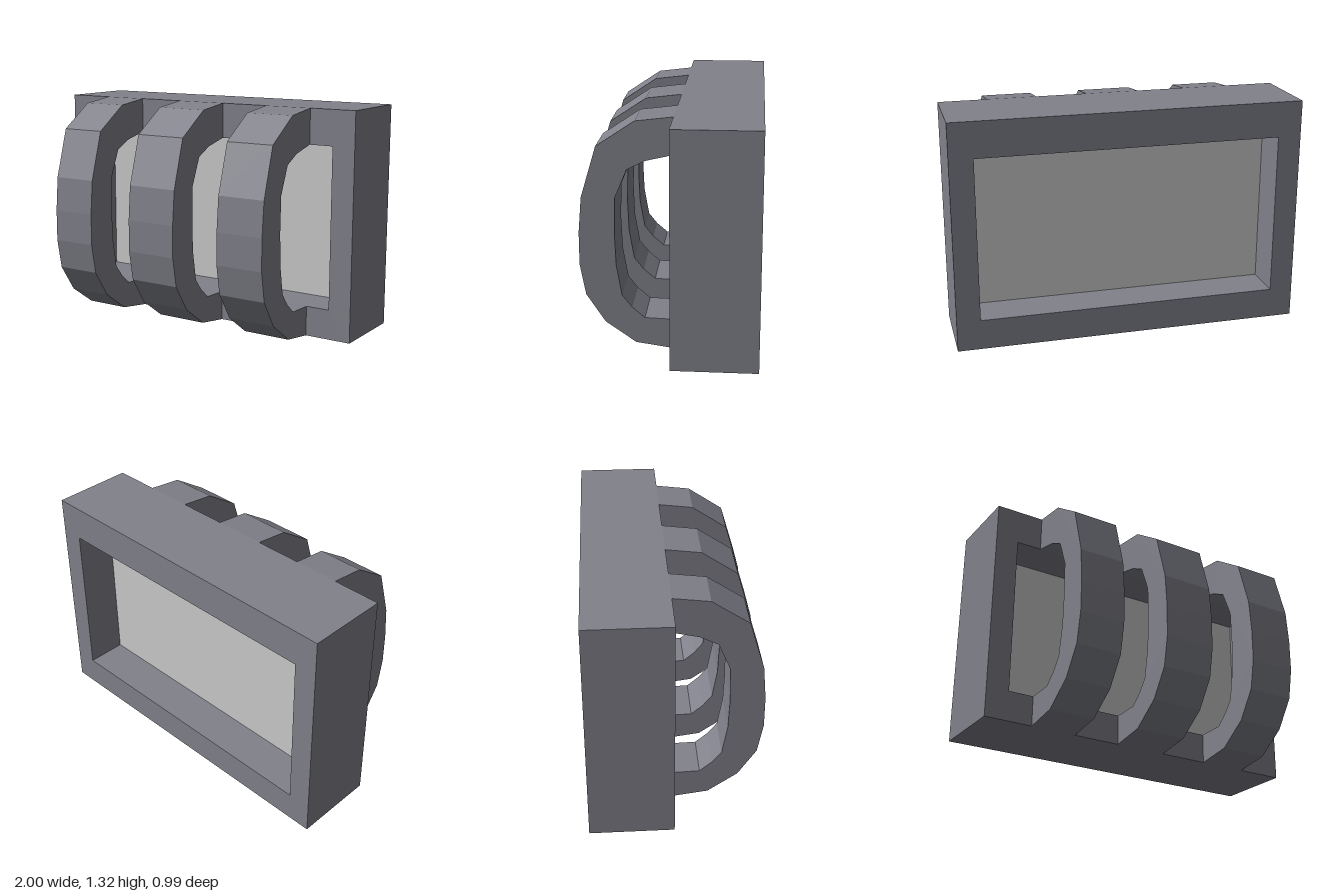
import * as THREE from 'three';

const rect = (Type, x0, x1, y0, y1) => {
  const p = new Type();
  p.moveTo(x0, y0);
  p.lineTo(x1, y0);
  p.lineTo(x1, y1);
  p.lineTo(x0, y1);
  p.closePath();
  return p;
};

export function createModel() {
  const group = new THREE.Group();
  const metal = new THREE.MeshStandardMaterial({ color: 0x80818a, flatShading: true });
  const glass = new THREE.MeshStandardMaterial({ color: 0xcccccc, side: THREE.DoubleSide });
  const add = (name, geometry, material) => {
    const mesh = new THREE.Mesh(geometry, material);
    mesh.name = name;
    group.add(mesh);
    return mesh;
  };

  // Rectangular frame with an open centre
  const back = -0.495, front = -0.02;
  const outline = rect(THREE.Shape, -1, 1, 0, 1.32);
  outline.holes.push(rect(THREE.Path, -0.865, 0.865, 0.175, 1.115));
  const frame = new THREE.ExtrudeGeometry(outline, { depth: front - back, bevelEnabled: false });
  frame.translate(0, 0, back);
  add('frame', frame, metal);

  // Thin pane halfway through the frame
  add('pane', new THREE.PlaneGeometry(1.73, 0.94), glass).position.set(0, 0.645, -0.26);

  // Side profile of a curved bar as (z, y): outer curve down, inner curve back up
  const profile = [
    [front, 1.32], [0.185, 1.295], [0.395, 1.155], [0.48, 0.87], [0.497, 0.67],
    [0.497, 0.485], [0.465, 0.31], [0.36, 0.15], [0.19, 0.03], [front, 0],
    [front, 0.175], [0.14, 0.18], [0.21, 0.24], [0.265, 0.31], [0.295, 0.485],
    [0.302, 0.67], [0.297, 0.87], [0.23, 1.03], [0.13, 1.08], [front, 1.115],
  ];
  const barShape = new THREE.Shape(profile.map(([z, y]) => new THREE.Vector2(z, y)));

  // Three bars across the front, each with its own width
  const bars = { rightBar: [-0.717, -0.447], middleBar: [-0.166, 0.144], leftBar: [0.437, 0.723] };
  for (const [name, [x0, x1]] of Object.entries(bars)) {
    const bar = new THREE.ExtrudeGeometry(barShape, { depth: x1 - x0, bevelEnabled: false });
    bar.rotateY(-Math.PI / 2);
    bar.translate(x1, 0, 0);
    add(name, bar, metal);
  }

  return group;
}
